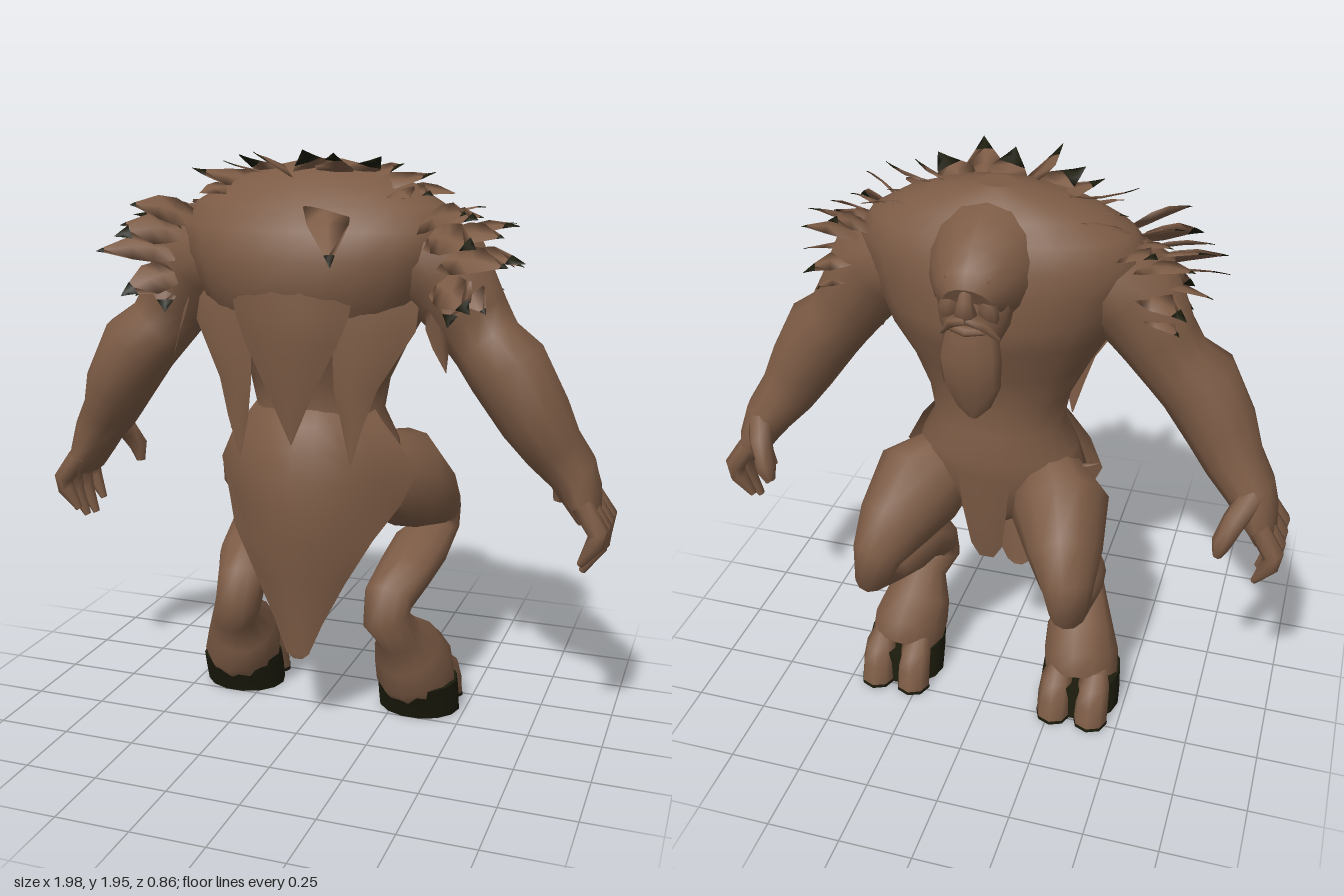
import * as THREE from 'three';

const hide = new THREE.MeshStandardMaterial({ color: 0x7c5b45, side: THREE.DoubleSide });
hide.name = 'brown hide';
const horn = new THREE.MeshStandardMaterial({ color: 0x1c1c0d, side: THREE.DoubleSide });
horn.name = 'dark hoof';

const X = new THREE.Vector3(1, 0, 0), Y = new THREE.Vector3(0, 1, 0), Z = new THREE.Vector3(0, 0, 1);

function surface(name, pos, idx, mat) {
  const g = new THREE.BufferGeometry();
  g.setAttribute('position', new THREE.Float32BufferAttribute(pos, 3));
  g.setIndex(idx);
  g.computeVertexNormals();
  const m = new THREE.Mesh(g, mat);
  m.name = name;
  return m;
}

// Skin over elliptical sections [x, y, z, a, b]; a lies along axis u.
// Rings follow the path unless a fixed direction is given.
function loft(name, secs, u, sides = 10, mat = hide, fixed = null) {
  const pos = [], idx = [], n = secs.length;
  const c = secs.map(s => new THREE.Vector3(s[0], s[1], s[2]));
  secs.forEach((s, i) => {
    const t = fixed ? fixed.clone()
      : c[Math.min(i + 1, n - 1)].clone().sub(c[Math.max(i - 1, 0)]).normalize();
    const a = u.clone().addScaledVector(t, -u.dot(t)).normalize();
    const b = t.clone().cross(a);
    for (let j = 0; j < sides; j++) {
      const w = j / sides * Math.PI * 2;
      pos.push(...c[i].clone().addScaledVector(a, Math.cos(w) * s[3]).addScaledVector(b, Math.sin(w) * s[4]).toArray());
    }
  });
  for (let i = 0; i < n - 1; i++) for (let j = 0; j < sides; j++) {
    const k = (j + 1) % sides, p = i * sides, q = p + sides;
    idx.push(p + j, p + k, q + k, p + j, q + k, q + j);
  }
  // End caps have their own corners so their edges stay sharp
  for (const [i, flip] of [[0, true], [n - 1, false]]) {
    const o = pos.length / 3;
    pos.push(...c[i].toArray(), ...pos.slice(i * sides * 3, (i + 1) * sides * 3));
    for (let j = 0; j < sides; j++) {
      const p = o + 1 + j, q = o + 1 + (j + 1) % sides;
      idx.push(o, flip ? q : p, flip ? p : q);
    }
  }
  return surface(name, pos, idx, mat);
}

// Curved hanging sheet of hair; rows are [y, centre x, half width, z middle, z edge, skew]
function sheet(name, rows) {
  const pos = [], idx = [], n = 9;
  rows.forEach(([y, x, w, zm, ze, skew = 0]) => {
    for (let j = 0; j < n; j++) {
      const k = j / (n - 1) * 2 - 1;
      pos.push(x + w * k, y, zm + (ze - zm) * k * k + skew * k);
    }
  });
  for (let i = 0; i < rows.length - 1; i++) for (let j = 0; j < n - 1; j++) {
    const p = i * n + j, q = p + n;
    idx.push(p, q, q + 1, p, q + 1, p + 1);
  }
  return surface(name, pos, idx, hide);
}

// Flat leaf-shaped lock of hair, dark from the share "dark" of its length onward
function tuft(base, tip, width, lift = 0.03, dark = 1, roll = 0) {
  const g = new THREE.Group();
  g.name = 'hairTuft';
  const a = new THREE.Vector3(...base), d = new THREE.Vector3(...tip);
  const mid = a.clone().lerp(d, 0.5);
  mid.y += lift;
  const curve = new THREE.QuadraticBezierCurve3(a, mid, d);
  const dir = d.clone().sub(a).normalize();
  const u = dir.clone().cross(new THREE.Vector3(0, 1, 0.02)).normalize().applyAxisAngle(dir, roll);
  const part = (name, ts, mat) => g.add(loft(name, ts.map(t => {
    const w = width * Math.min(0.7 + t, 1.8 * (1 - t)) + 0.001;
    return [...curve.getPoint(t).toArray(), w, 0.005 * (1 - t) + 0.001];
  }), u, 4, mat));
  part('lock', [0, 0.3 * dark, 0.6 * dark, dark], hide);
  if (dark < 1) part('lockTip', [dark, (1 + dark) / 2, 1], horn);
  return g;
}

export function createModel() {
  const model = new THREE.Group();
  model.name = 'hoofedBeast';
  const add = (...m) => model.add(...m);

  // Torso: [y, half width, back z, front z]
  add(loft('torso', [
    [0.7, 0.07, 0.08, -0.1], [0.78, 0.2, 0.16, -0.17], [0.9, 0.3, 0.21, -0.2], [1.0, 0.27, 0.2, -0.21],
    [1.1, 0.22, 0.18, -0.19], [1.2, 0.24, 0.19, -0.185], [1.32, 0.3, 0.23, -0.2], [1.44, 0.37, 0.3, -0.26],
    [1.52, 0.405, 0.33, -0.27], [1.62, 0.45, 0.335, -0.265], [1.71, 0.47, 0.3, -0.25], [1.78, 0.42, 0.245, -0.22],
    [1.84, 0.32, 0.18, -0.18], [1.885, 0.2, 0.11, -0.14], [1.915, 0.06, 0.02, -0.09],
  ].map(([y, w, b, f]) => [0, y, (b + f) / 2, w, (b - f) / 2]), X, 24, hide, Y));

  // Long hair down the back
  add(sheet('lowerMane', [
    [1.14, 0, 0.19, 0.165, 0.05], [1.08, 0, 0.235, 0.235, 0.06], [1.0, 0, 0.3, 0.27, 0.06], [0.9, 0, 0.35, 0.295, 0.04],
    [0.8, 0, 0.31, 0.3, 0.08], [0.7, 0, 0.245, 0.295, 0.18], [0.55, 0, 0.16, 0.27, 0.21], [0.4, 0, 0.085, 0.25, 0.225],
    [0.29, 0, 0.04, 0.24, 0.235], [0.27, 0, 0.015, 0.235, 0.235]]));
  add(sheet('upperMane', [
    [1.57, 0, 0.21, 0.325, 0.275], [1.45, 0, 0.19, 0.335, 0.28], [1.36, 0, 0.155, 0.33, 0.29],
    [1.22, 0, 0.085, 0.31, 0.295], [1.03, 0, 0.002, 0.285, 0.285]]));
  add(sheet('loinFlap', [[0.95, 0, 0.09, -0.215, -0.2], [0.8, 0, 0.075, -0.2, -0.19], [0.65, 0, 0.055, -0.18, -0.17], [0.6, 0, 0.025, -0.17, -0.17]]));

  // Neck and head, looking toward -z
  add(loft('neck', [
    [0, 1.71, 0.05, 0.27, 0.19], [0, 1.695, -0.08, 0.225, 0.205], [0, 1.685, -0.19, 0.175, 0.175],
    [0, 1.67, -0.27, 0.14, 0.14], [0, 1.66, -0.325, 0.105, 0.1], [0, 1.65, -0.345, 0.075, 0.06]], X, 16));
  add(loft('jaw', [
    [0, 1.48, -0.28, 0.07, 0.05], [0, 1.56, -0.27, 0.11, 0.085], [0, 1.64, -0.26, 0.125, 0.09], [0, 1.7, -0.25, 0.11, 0.09]], X, 14, hide, Y));
  add(loft('beard', [
    [0, 1.57, -0.3, 0.08, 0.055], [0, 1.46, -0.325, 0.1, 0.052], [0, 1.36, -0.31, 0.092, 0.042],
    [0, 1.28, -0.3, 0.058, 0.025], [0, 1.235, -0.295, 0.015, 0.01]], X, 10));
  add(loft('nose', [[0, 1.71, -0.34, 0.018, 0.02], [0, 1.66, -0.365, 0.025, 0.022], [0, 1.625, -0.365, 0.038, 0.025], [0, 1.61, -0.35, 0.02, 0.015]], X, 8));
  add(loft('lowerLip', [[-0.05, 1.56, -0.335, 0.012, 0.015], [0, 1.565, -0.36, 0.016, 0.022], [0.05, 1.56, -0.335, 0.012, 0.015]], Y, 8));

  for (const s of [-1, 1]) {
    const m = secs => secs.map(([x, ...r]) => [x * s, ...r]);
    const hair = (b, t, w, lift, dark, roll = 0) =>
      add(tuft([b[0] * s, b[1], b[2]], [t[0] * s, t[1], t[2]], w, lift, dark, roll * s));

    // Brow, cheek, moustache and ear
    add(loft('brow', m([[0.005, 1.715, -0.34, 0.018, 0.02], [0.06, 1.725, -0.33, 0.02, 0.02], [0.11, 1.7, -0.285, 0.01, 0.01]]), Y, 8));
    add(loft('cheek', m([[0.05, 1.67, -0.33, 0.02, 0.015], [0.06, 1.63, -0.335, 0.035, 0.025], [0.07, 1.58, -0.31, 0.02, 0.015]]), X, 8));
    add(loft('moustache', m([[0, 1.6, -0.355, 0.015, 0.02], [0.05, 1.585, -0.35, 0.018, 0.02], [0.09, 1.53, -0.32, 0.006, 0.006]]), Y, 6));

    // Side lock of the mane
    add(sheet('sideMane', [
      [1.5, 0.265 * s, 0.11, 0.215, 0.2, -0.07 * s], [1.4, 0.255 * s, 0.12, 0.245, 0.225, -0.055 * s], [1.22, 0.205 * s, 0.065, 0.265, 0.25, -0.025 * s],
      [1.1, 0.195 * s, 0.035, 0.262, 0.255], [0.97, 0.19 * s, 0.002, 0.255, 0.255]]));

    // Arm and palm
    add(loft('arm', m([
      [0.3, 1.63, 0.03, 0.17, 0.17], [0.43, 1.57, 0.03, 0.165, 0.165], [0.515, 1.43, 0.02, 0.125, 0.13],
      [0.575, 1.345, 0.03, 0.12, 0.12], [0.645, 1.28, 0.05, 0.145, 0.135], [0.735, 1.13, 0.04, 0.135, 0.12],
      [0.79, 1.03, 0.01, 0.11, 0.1], [0.855, 0.945, -0.015, 0.105, 0.085],
      [0.89, 0.87, -0.02, 0.125, 0.065], [0.915, 0.8, -0.02, 0.11, 0.042]]), Z, 12));
    // Fingers and thumb
    [[0.075, 0.05], [0.015, 0.01], [-0.05, 0], [-0.11, 0.04]].forEach(([z, up]) => add(loft('finger', m([
      [0.9, 0.86, z, 0.036, 0.036], [0.958, 0.775, z * 1.1, 0.036, 0.036],
      [0.95, 0.7 + up * 0.7, z * 1.1, 0.031, 0.032], [0.905, 0.61 + up, z, 0.014, 0.012]]), Z, 7)));
    add(loft('thumb', m([
      [0.87, 0.96, -0.06, 0.045, 0.05], [0.825, 0.91, -0.16, 0.04, 0.04],
      [0.795, 0.84, -0.195, 0.034, 0.034], [0.785, 0.785, -0.19, 0.016, 0.016]]), X, 7));

    // Leg with forward knee and back-turned hock
    add(loft('leg', m([
      [0.17, 0.88, -0.02, 0.12, 0.14], [0.25, 0.835, -0.14, 0.165, 0.175], [0.3, 0.745, -0.27, 0.125, 0.135],
      [0.33, 0.67, -0.35, 0.088, 0.09], [0.34, 0.605, -0.37, 0.065, 0.073], [0.325, 0.59, -0.3, 0.085, 0.065],
      [0.31, 0.57, -0.19, 0.105, 0.078], [0.295, 0.525, -0.04, 0.1, 0.072],
      [0.27, 0.465, 0.07, 0.088, 0.075], [0.27, 0.4, 0.1, 0.084, 0.07], [0.305, 0.33, 0.05, 0.08, 0.08],
      [0.31, 0.255, -0.025, 0.12, 0.12], [0.325, 0.18, -0.065, 0.135, 0.16], [0.335, 0.11, -0.1, 0.132, 0.13]]), X, 12));
    add(loft('hoof', m([
      [0.335, 0, -0.12, 0.145, 0.125], [0.335, 0.06, -0.105, 0.145, 0.135], [0.335, 0.125, -0.085, 0.14, 0.15]]), X, 14, horn, Y));
    for (const d of [-0.068, 0.068]) {
      add(loft('toe', m([
        [0.335 + d, 0.012, -0.235, 0.06, 0.062], [0.335 + d, 0.08, -0.22, 0.06, 0.06],
        [0.335 + d, 0.14, -0.19, 0.055, 0.06], [0.335 + d, 0.18, -0.15, 0.035, 0.045]]), X, 8, hide, Y));
      add(loft('toeSole', m([[0.335 + d, 0, -0.235, 0.062, 0.064], [0.335 + d, 0.012, -0.235, 0.062, 0.064]]), X, 8, horn, Y));
    }

    // Rows of shoulder hair: base x, base y, tip x, tip y
    [[0.42, 1.73, 0.57, 1.765], [0.46, 1.69, 0.65, 1.7], [0.48, 1.62, 0.69, 1.6], [0.49, 1.55, 0.62, 1.49]].forEach(([bx, by, tx, ty], r) => {
      for (let k = 0; k < 4; k++) {
        const z = -0.14 + 0.115 * k + 0.03 * (r % 2), j = Math.sin(k * 5.1 + r * 2.3);
        hair([bx - 0.8 * z * z, by, z * 0.7 + 0.02], [tx - 1.3 * (z - 0.06) ** 2 + 0.02 * j, ty + 0.025 * j, z * 1.2 + 0.03],
          0.06, 0.025, (k + r) % 2 ? 0.9 : 0.76, 0.25 + z * 2.5);
      }
    });
    // Locks over the upper arm
    hair([0.5, 1.56, 0.13], [0.48, 1.42, 0.19], 0.06, 0.01, 0.75);
    hair([0.42, 1.47, 0.13], [0.47, 1.27, 0.15], 0.055, 0, 1);
    // Locks between neck and shoulder
    for (let k = 0; k < 3; k++) hair([0.27, 1.82, -0.06 + k * 0.07], [0.43 - k * 0.04, 1.81, -0.08 + k * 0.13], 0.055, 0.015, k % 2 ? 0.78 : 1, 0.3);
    hair([0.2, 1.86, 0.03], [0.41, 1.885, 0.1], 0.06, -0.03, 0.8, 0.4);
  }

  // Crest fanned over the hump
  for (let i = 0; i < 7; i++) {
    const w = (i - 3) * 0.42, S = Math.sin(w), C = Math.cos(w);
    add(tuft([0.16 * S, 1.87, 0.05 * C], [0.32 * S, 1.89 + 0.06 * C, (i % 2 ? 0.17 : 0.28) * C], 0.06, -0.015, i % 2 ? 0.6 : 0.75, 0.5 * Math.sin(i * 2.4)));
  }
  // Stray locks on the back and hip
  add(tuft([0.07, 1.81, 0.15], [0.18, 1.62, 0.43], 0.075, 0.05, 0.88));
  add(tuft([-0.28, 0.95, -0.05], [-0.36, 0.98, -0.06], 0.015, 0));
  return model;
}
